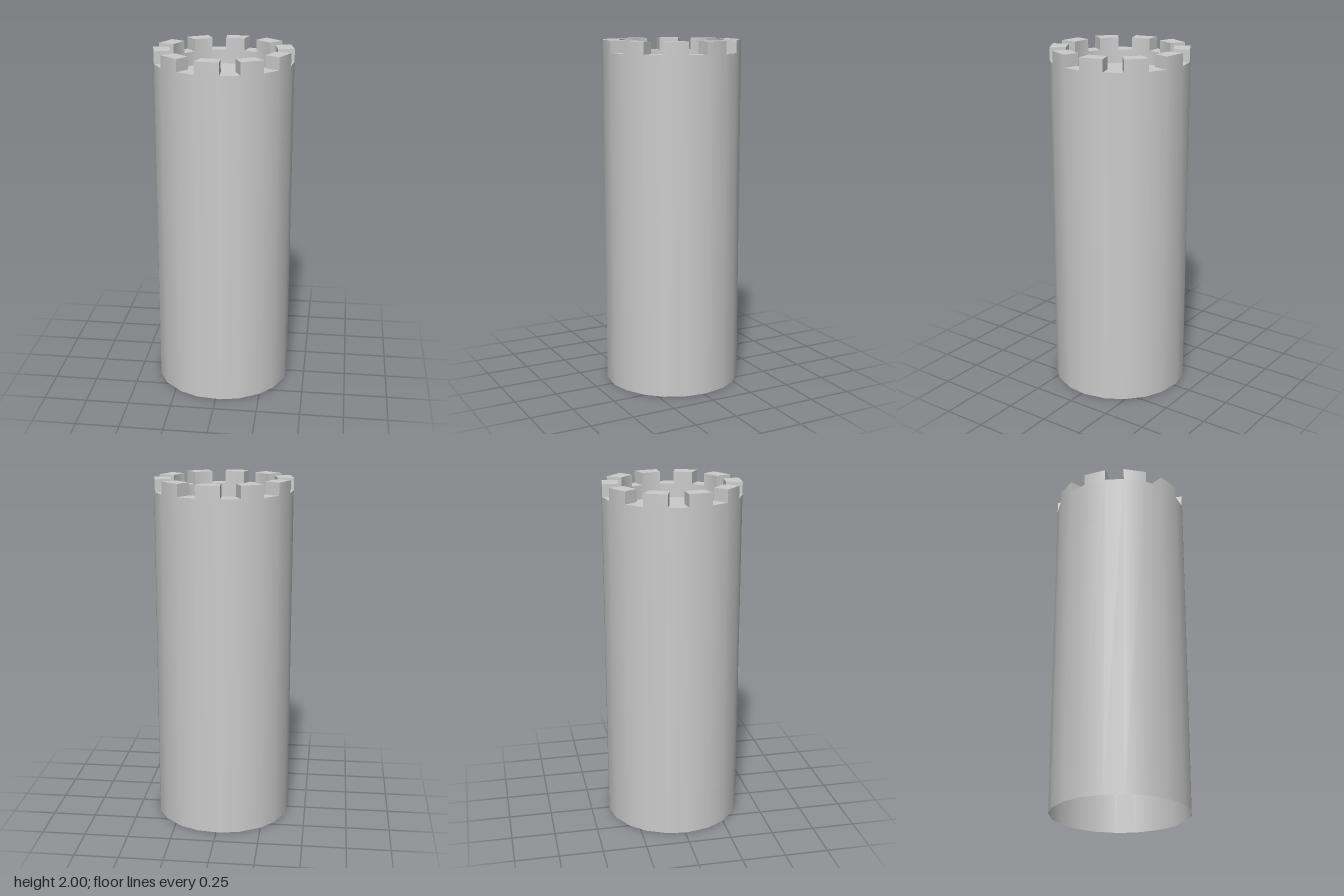
import * as THREE from 'three';

const COUNT = 10;                 // merlons around the rim
const STEP = (Math.PI * 2) / COUNT;
const RAD = Math.PI / 180;
const CENTRE = -6.3 * RAD;        // direction of the first merlon
const OUTER = { r: 0.394, half: 9.9 * RAD };
const INNER = { r: 0.302, half: 10.5 * RAD };
const TOP = 2, NOTCH = 1.93, FLOOR = 1.85;

// Angle of rim corner i: even = start of a merlon, odd = its end
const angle = (ring, i) =>
  CENTRE + Math.floor(i / 2) * STEP + (i % 2 ? ring.half : -ring.half);

const corner = (ring, i, y) => {
  const a = angle(ring, i);
  return new THREE.Vector3(ring.r * Math.sin(a), y, ring.r * Math.cos(a));
};

// Collects counter-clockwise quads; radial = +1 / -1 gives smooth round normals, 0 gives flat ones
function surface(name, quads, material) {
  const pos = [], nor = [];
  for (const { pts, radial = 0 } of quads) {
    const flat = pts[1].clone().sub(pts[0]).cross(pts[2].clone().sub(pts[0])).normalize();
    for (const k of [0, 1, 2, 0, 2, 3]) {
      const p = pts[k];
      const n = radial ? new THREE.Vector3(p.x, 0, p.z).normalize().multiplyScalar(radial) : flat;
      pos.push(p.x, p.y, p.z);
      nor.push(n.x, n.y, n.z);
    }
  }
  const geometry = new THREE.BufferGeometry();
  geometry.setAttribute('position', new THREE.Float32BufferAttribute(pos, 3));
  geometry.setAttribute('normal', new THREE.Float32BufferAttribute(nor, 3));
  const mesh = new THREE.Mesh(geometry, material);
  mesh.name = name;
  return mesh;
}

// Upright strips between corners i and i + 1, facing out or in
const outside = (i, y0, y1) => ({
  radial: 1,
  pts: [corner(OUTER, i, y0), corner(OUTER, i + 1, y0), corner(OUTER, i + 1, y1), corner(OUTER, i, y1)],
});
const inside = (i, y0, y1) => ({
  radial: -1,
  pts: [corner(INNER, i + 1, y0), corner(INNER, i, y0), corner(INNER, i, y1), corner(INNER, i + 1, y1)],
});
// Level piece of the rim
const ledge = (i, y) => ({
  pts: [corner(OUTER, i, y), corner(OUTER, i + 1, y), corner(INNER, i + 1, y), corner(INNER, i, y)],
});
// Side cheek of a merlon
const cheek = (i) => {
  const pts = [corner(INNER, i, NOTCH), corner(OUTER, i, NOTCH), corner(OUTER, i, TOP), corner(INNER, i, TOP)];
  return { pts: i % 2 ? pts.reverse() : pts };
};

export function createModel() {
  const group = new THREE.Group();
  group.name = 'tower';
  const grey = new THREE.MeshStandardMaterial({ color: 0xcccccc });
  const greyOpen = new THREE.MeshStandardMaterial({ color: 0xcccccc, side: THREE.DoubleSide });

  const sides = Array.from({ length: COUNT * 2 }, (_, i) => i);

  // Tall shaft, open at the bottom
  group.add(surface('shaft', sides.map((i) => outside(i, 0, NOTCH)), greyOpen));

  // Parapet lining and the ledges between the merlons
  group.add(surface('parapetLining', sides.map((i) => inside(i, FLOOR, NOTCH)), grey));
  group.add(surface('notchLedges', sides.filter((i) => i % 2).map((i) => ledge(i, NOTCH)), grey));

  // Merlons
  const merlons = new THREE.Group();
  merlons.name = 'merlons';
  for (let i = 0; i < COUNT * 2; i += 2) {
    merlons.add(surface('merlon', [
      outside(i, NOTCH, TOP), inside(i, NOTCH, TOP), ledge(i, TOP), cheek(i), cheek(i + 1),
    ], grey));
  }
  group.add(merlons);

  // Sunken platform inside the parapet
  const outline = new THREE.Shape(sides.map((i) => {
    const p = corner(INNER, i, 0);
    return new THREE.Vector2(p.x, -p.z);
  }));
  const platform = new THREE.Mesh(new THREE.ShapeGeometry(outline), greyOpen);
  platform.name = 'platform';
  platform.rotation.x = -Math.PI / 2;
  platform.position.y = FLOOR;
  group.add(platform);

  return group;
}
